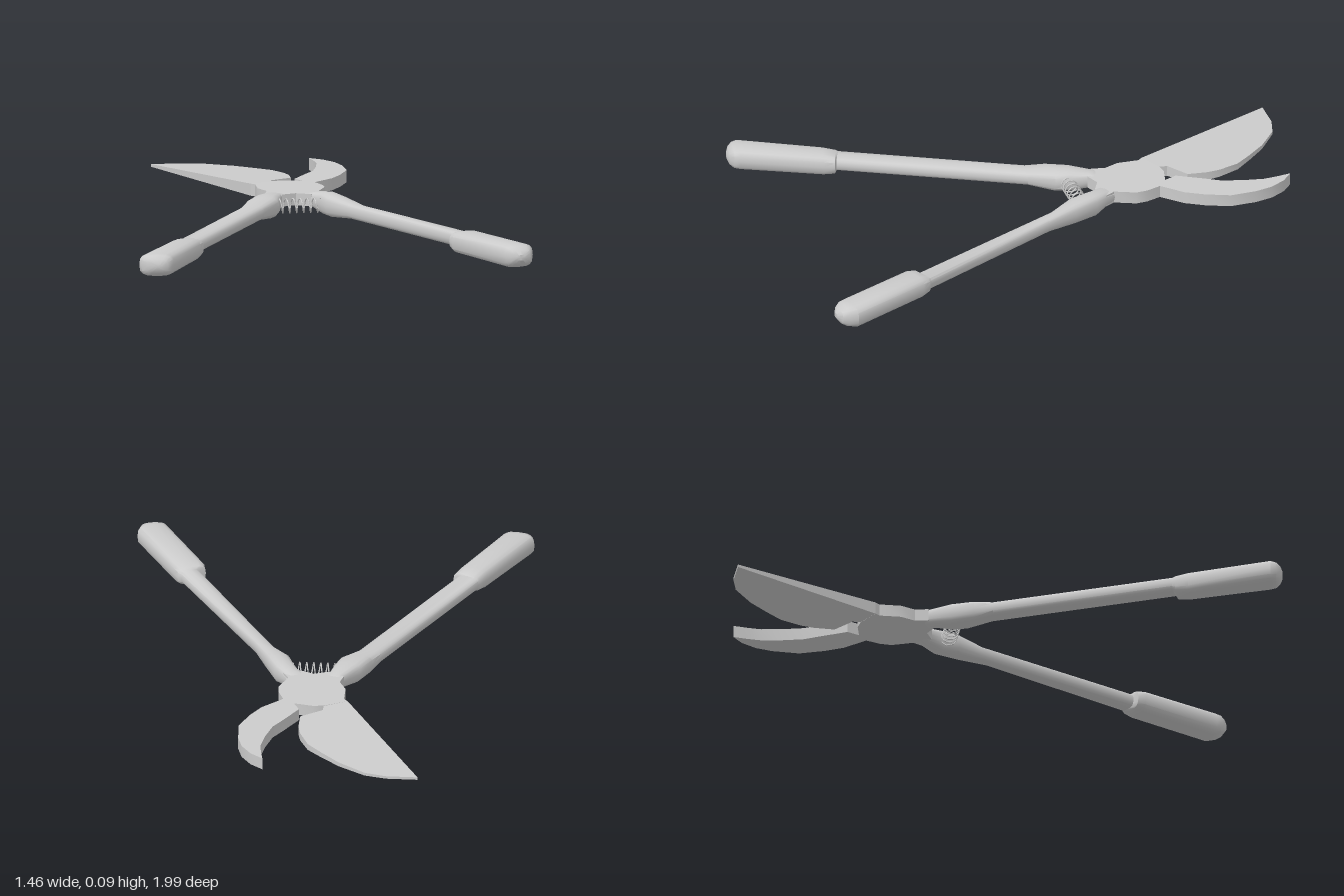
import * as THREE from 'three';
import { toCreasedNormals } from 'three/addons/utils/BufferGeometryUtils.js';

const steel = new THREE.MeshStandardMaterial({ color: 0xcccccc });

function part(name, geometry, crease = 0.6) {
  const mesh = new THREE.Mesh(toCreasedNormals(geometry, crease), steel);
  mesh.name = name;
  return mesh;
}

// Flat plate from an [x, z] outline, lying between two heights.
function plate(outline, y0, y1) {
  const shape = new THREE.Shape(outline.map(([x, z]) => new THREE.Vector2(x, -z)));
  const g = new THREE.ExtrudeGeometry(shape, { depth: y1 - y0, bevelEnabled: false });
  return g.rotateX(-Math.PI / 2).translate(0, y0, 0);
}

// Rounded-box loft; rows are [xLeft, zLeft, xRight, zRight, yLow, yHigh], running towards +z.
function loft(rows, sides = 16, power = 0.65) {
  const pos = [], index = [];
  const bend = v => Math.sign(v) * Math.abs(v) ** power;
  for (const [xl, zl, xr, zr, y0, y1] of rows) {
    for (let j = 0; j < sides; j++) {
      const a = (j / sides) * Math.PI * 2;
      const u = bend(Math.cos(a)) / 2, v = bend(Math.sin(a)) / 2;
      pos.push((xl + xr) / 2 + u * (xr - xl), (y0 + y1) / 2 + v * (y1 - y0), (zl + zr) / 2 + u * (zr - zl));
    }
  }
  const last = rows.length - 1;
  for (let i = 0; i < last; i++) {
    for (let j = 0; j < sides; j++) {
      const a = i * sides + j, b = i * sides + (j + 1) % sides;
      index.push(a, b, a + sides, b, b + sides, a + sides);
    }
  }
  // end caps
  for (const i of [0, last]) {
    const [xl, zl, xr, zr, y0, y1] = rows[i];
    const c = pos.length / 3;
    pos.push((xl + xr) / 2, (y0 + y1) / 2, (zl + zr) / 2);
    for (let j = 0; j < sides; j++) {
      const a = i * sides + j, b = i * sides + (j + 1) % sides;
      if (i === 0) index.push(c, b, a);
      else index.push(c, a, b);
    }
  }
  const g = new THREE.BufferGeometry();
  g.setAttribute('position', new THREE.Float32BufferAttribute(pos, 3));
  g.setIndex(index);
  return g;
}

export function createModel() {
  const model = new THREE.Group();
  model.name = 'gardenShears';

  // pivot plate with the curved counter hook
  model.add(part('pivotAndHook', plate([
    [-0.07, -0.49], [-0.03, -0.495], [0.04, -0.48], [0.018, -0.526], [0.07, -0.62],
    [0.103, -0.675], [0.124, -0.755], [0.135, -0.83], [0.13, -0.88], [0.12, -0.935],
    [0.167, -0.897], [0.204, -0.84], [0.222, -0.775], [0.228, -0.675], [0.193, -0.585],
    [0.156, -0.52], [0.082, -0.447], [0.103, -0.394], [0.108, -0.35], [0.077, -0.273],
    [0.1, -0.235], [0.04, -0.21], [-0.013, -0.235], [-0.066, -0.214], [-0.125, -0.246],
    [-0.114, -0.294], [-0.14, -0.35], [-0.14, -0.43], [-0.155, -0.447],
  ], 0.035, 0.08)));

  // broad blade, thinning towards its tip
  const blade = plate([
    [-0.457, -1], [-0.34, -1], [-0.26, -0.98], [-0.16, -0.91], [-0.09, -0.84],
    [-0.035, -0.78], [0, -0.7], [0.01, -0.65], [0.01, -0.575], [-0.07, -0.52],
    [-0.07, -0.49], [-0.155, -0.447],
  ], -1, 1);
  const p = blade.attributes.position;
  for (let i = 0; i < p.count; i++) {
    const t = THREE.MathUtils.clamp((-p.getZ(i) - 0.45) / 0.55, 0, 1);
    const half = THREE.MathUtils.lerp(0.0225, 0.005, t);
    p.setY(i, THREE.MathUtils.lerp(0.0575, 0.053, t) + p.getY(i) * half);
  }
  model.add(part('blade', blade));

  // handles: swollen neck, slim shaft, stepped grip and rounded end
  model.add(part('rightHandle', loft([
    [-0.118, -0.27, -0.03, -0.23, 0.036, 0.079],
    [-0.125, -0.246, -0.066, -0.214, 0.026, 0.086],
    [-0.18, -0.17, -0.08, -0.15, 0.012, 0.092],
    [-0.22, -0.09, -0.093, -0.1, 0.012, 0.09],
    [-0.246, -0.024, -0.156, -0.013, 0.022, 0.076],
    [-0.553, 0.595, -0.474, 0.627, 0.02, 0.074],
    [-0.56, 0.605, -0.458, 0.637, 0.012, 0.08],
    [-0.585, 0.65, -0.475, 0.675, 0.004, 0.086],
    [-0.733, 0.935, -0.605, 0.955, 0.002, 0.087],
    [-0.728, 0.957, -0.615, 0.975, 0.006, 0.083],
    [-0.71, 0.976, -0.632, 0.987, 0.018, 0.072],
    [-0.685, 0.988, -0.655, 0.992, 0.035, 0.055],
  ])));
  model.add(part('leftHandle', loft([
    [0.01, -0.23, 0.08, -0.275, 0.036, 0.079],
    [0.04, -0.21, 0.1, -0.24, 0.026, 0.088],
    [0.065, -0.155, 0.135, -0.193, 0.012, 0.094],
    [0.082, -0.1, 0.175, -0.1, 0.012, 0.09],
    [0.146, -0.013, 0.225, 0.02, 0.022, 0.076],
    [0.475, 0.6, 0.537, 0.563, 0.02, 0.074],
    [0.452, 0.615, 0.553, 0.572, 0.012, 0.08],
    [0.458, 0.645, 0.57, 0.6, 0.004, 0.086],
    [0.61, 0.93, 0.727, 0.897, 0, 0.087],
    [0.62, 0.948, 0.722, 0.93, 0.006, 0.083],
    [0.637, 0.963, 0.713, 0.953, 0.018, 0.072],
    [0.66, 0.972, 0.69, 0.968, 0.035, 0.055],
  ])));

  // return spring between the handle necks
  const coil = [], turns = 6, steps = 12;
  for (let i = 0; i <= turns * steps; i++) {
    const a = (i / steps) * Math.PI * 2;
    coil.push(new THREE.Vector3(-0.085 + 0.155 * i / (turns * steps),
      0.05 + 0.026 * Math.cos(a), -0.145 + 0.028 * Math.sin(a)));
  }
  model.add(part('spring', new THREE.TubeGeometry(new THREE.CatmullRomCurve3(coil), 160, 0.0025, 6), 1.2));

  return model;
}
